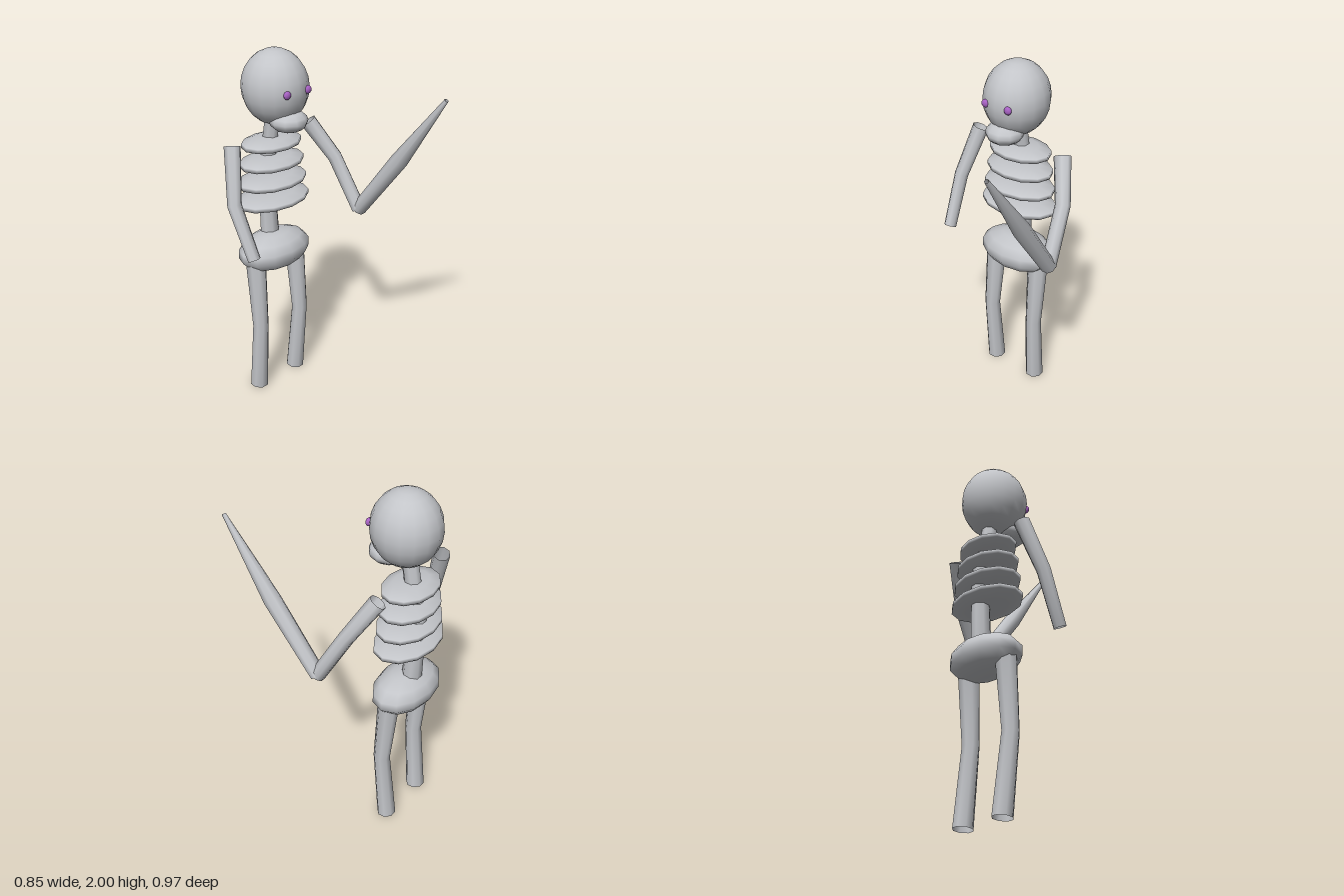
import * as THREE from 'three';

const CX = -0.043; // centre line of the body

export function createModel() {
  const model = new THREE.Group();
  model.name = 'skeleton';

  const bone = new THREE.MeshStandardMaterial({ color: 0xc3c5c9, side: THREE.DoubleSide });
  bone.name = 'bone grey';
  const purple = new THREE.MeshStandardMaterial({ color: 0xa862c4 });
  purple.name = 'eye purple';

  function add(name, geometry, material = bone) {
    const mesh = new THREE.Mesh(geometry, material);
    mesh.name = name;
    model.add(mesh);
    return mesh;
  }

  // Smooth ellipsoid with a chosen number of sides and rings
  function ellipsoid(name, pos, radii, sides, rings, material) {
    const geo = new THREE.SphereGeometry(1, sides, rings).scale(...radii);
    add(name, geo, material).position.set(...pos);
  }

  // Open eight-sided tube through points [x, y, z, radius]
  function limb(name, points, sides = 8) {
    const centres = points.map((p) => new THREE.Vector3(p[0], p[1], p[2]));
    const last = points.length - 1;
    const pos = [], idx = [];
    points.forEach((p, i) => {
      const t = new THREE.Vector3();
      if (i > 0) t.add(centres[i].clone().sub(centres[i - 1]).normalize());
      if (i < last) t.add(centres[i + 1].clone().sub(centres[i]).normalize());
      t.normalize();
      const u = new THREE.Vector3().crossVectors(t, new THREE.Vector3(1, 0, 0)).normalize();
      const v = new THREE.Vector3().crossVectors(t, u);
      for (let j = 0; j < sides; j++) {
        const a = ((j + 0.5) / sides) * Math.PI * 2;
        const q = centres[i].clone()
          .addScaledVector(u, Math.cos(a) * p[3])
          .addScaledVector(v, Math.sin(a) * p[3]);
        pos.push(q.x, q.y, q.z);
        if (i < last) {
          const k = (j + 1) % sides;
          const A = i * sides + j, B = i * sides + k;
          idx.push(A, B, B + sides, A, B + sides, A + sides);
        }
      }
    });
    const geo = new THREE.BufferGeometry();
    geo.setAttribute('position', new THREE.Float32BufferAttribute(pos, 3));
    geo.setIndex(idx);
    geo.computeVertexNormals();
    add(name, geo);
  }

  // Skull, jaw and eyes
  ellipsoid('skull', [CX, 1.8, -0.298], [0.175, 0.2, 0.183], 16, 12);
  ellipsoid('jaw', [CX, 1.638, -0.2], [0.103, 0.06, 0.103], 10, 8);
  for (const s of [-1, 1]) {
    ellipsoid(s > 0 ? 'leftEye' : 'rightEye', [CX + s * 0.072, 1.803, -0.13],
      [0.022, 0.022, 0.015], 10, 8, purple);
  }

  // Spine from the skull to the pelvis
  limb('spine', [
    [CX, 1.64, -0.322, 0.042],
    [CX, 1.3, -0.385, 0.046],
    [CX, 0.88, -0.365, 0.055],
  ]);

  // Flattened ribs, widening downward
  for (let i = 0; i < 4; i++) {
    ellipsoid('rib' + (i + 1), [CX, 1.487 - i * 0.107, -0.337],
      [0.189 + i * 0.017, 0.037, 0.137 + i * 0.008], 12, 5);
  }

  ellipsoid('pelvis', [CX, 0.855, -0.336], [0.234, 0.111, 0.154], 12, 7);

  // Mirrored legs
  for (const s of [-1, 1]) {
    limb(s > 0 ? 'leftLeg' : 'rightLeg', [
      [CX + s * 0.147, 0.82, -0.327, 0.058],
      [CX + s * 0.153, 0.43, -0.297, 0.046],
      [CX + s * 0.146, 0.006, -0.335, 0.053],
    ]);
  }

  // Lowered right arm
  limb('rightArm', [
    [-0.315, 1.535, -0.335, 0.045],
    [-0.387, 1.25, -0.25, 0.039],
    [-0.372, 0.975, -0.128, 0.035],
  ]);

  // Left arm reaching forward
  limb('leftArm', [
    [0.23, 1.535, -0.335, 0.046],
    [0.325, 1.33, -0.22, 0.041],
    [0.36, 1.05, -0.065, 0.041],
  ]);

  // Tapered spike raised from the left wrist
  limb('spike', [
    [0.36, 1.05, -0.065, 0.042],
    [0.38, 1.41, 0.2, 0.047],
    [0.39, 1.8, 0.475, 0.011],
  ]);

  return model;
}
